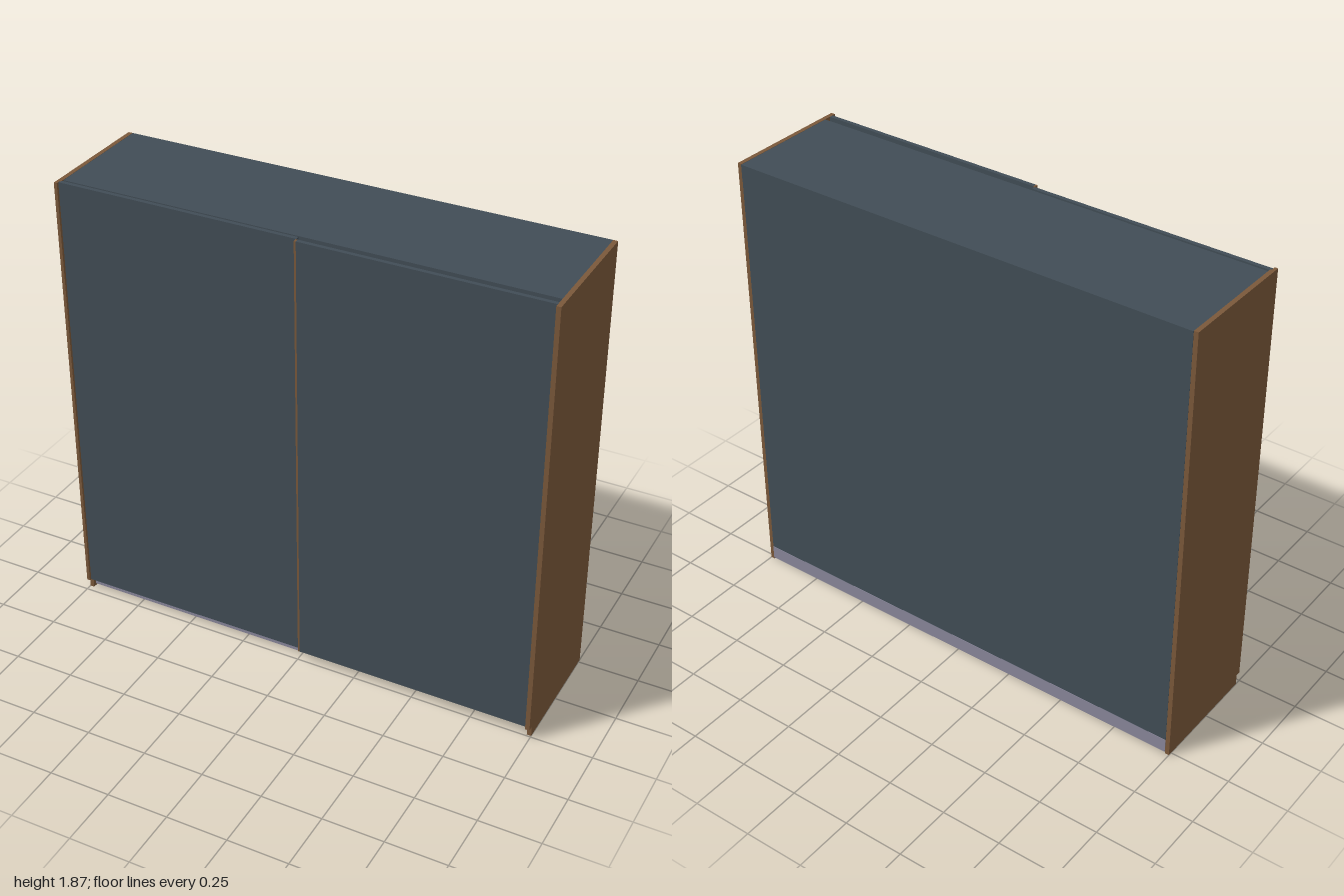
import * as THREE from 'three';

export function createModel() {
  const model = new THREE.Group();
  model.name = 'slidingWardrobe';

  const mat = (name, color) => {
    const m = new THREE.MeshStandardMaterial({ color });
    m.name = name;
    return m;
  };
  const slate = mat('slate', 0x414d56);
  const wood = mat('brownWood', 0x7a583a);
  const grey = mat('plinthGrey', 0x88869a);

  // box given by its limits on each axis
  const box = (name, material, [x0, x1], [y0, y1], [z0, z1], parent = model) => {
    const mesh = new THREE.Mesh(new THREE.BoxGeometry(x1 - x0, y1 - y0, z1 - z0), material);
    mesh.position.set((x0 + x1) / 2, (y0 + y1) / 2, (z0 + z1) / 2);
    mesh.name = name;
    parent.add(mesh);
  };

  const H = 1.866, back = -0.267, inner = 0.982, doorBottom = 0.045;

  // carcass
  box('rightSidePanel', wood, [-1, -inner], [0, H], [back + 0.002, 0.225]);
  box('leftSidePanel', wood, [inner, 1], [0, H], [back + 0.002, 0.243]);
  box('topPanel', slate, [-inner, inner], [H - 0.066, H - 0.001], [back, 0.21]);
  box('bottomPlinth', grey, [-inner, inner], [0.008, 0.068], [back, 0.21]);
  box('backPanel', slate, [-inner, inner], [0.068, H - 0.066], [back + 0.001, back + 0.013]);

  // sliding doors on two tracks, each with wooden edge grips
  const addDoor = (name, [x0, x1], z0, grips) => {
    const door = new THREE.Group();
    door.name = name;
    model.add(door);
    box('doorLeaf', slate, [x0, x1], [doorBottom, H], [z0, z0 + 0.016], door);
    for (const [gx, gz] of grips) box('edgeGrip', wood, gx, [doorBottom, H], gz, door);
  };
  addDoor('rightDoor', [-0.987, 0.003], 0.219, [[[-1, -0.987], [0.219, 0.245]]]);
  addDoor('leftDoor', [0.011, 0.982], 0.237, [
    [[0.003, 0.011], [0.237, 0.253]],
    [[0.982, 1], [0.237, 0.267]],
  ]);

  return model;
}
